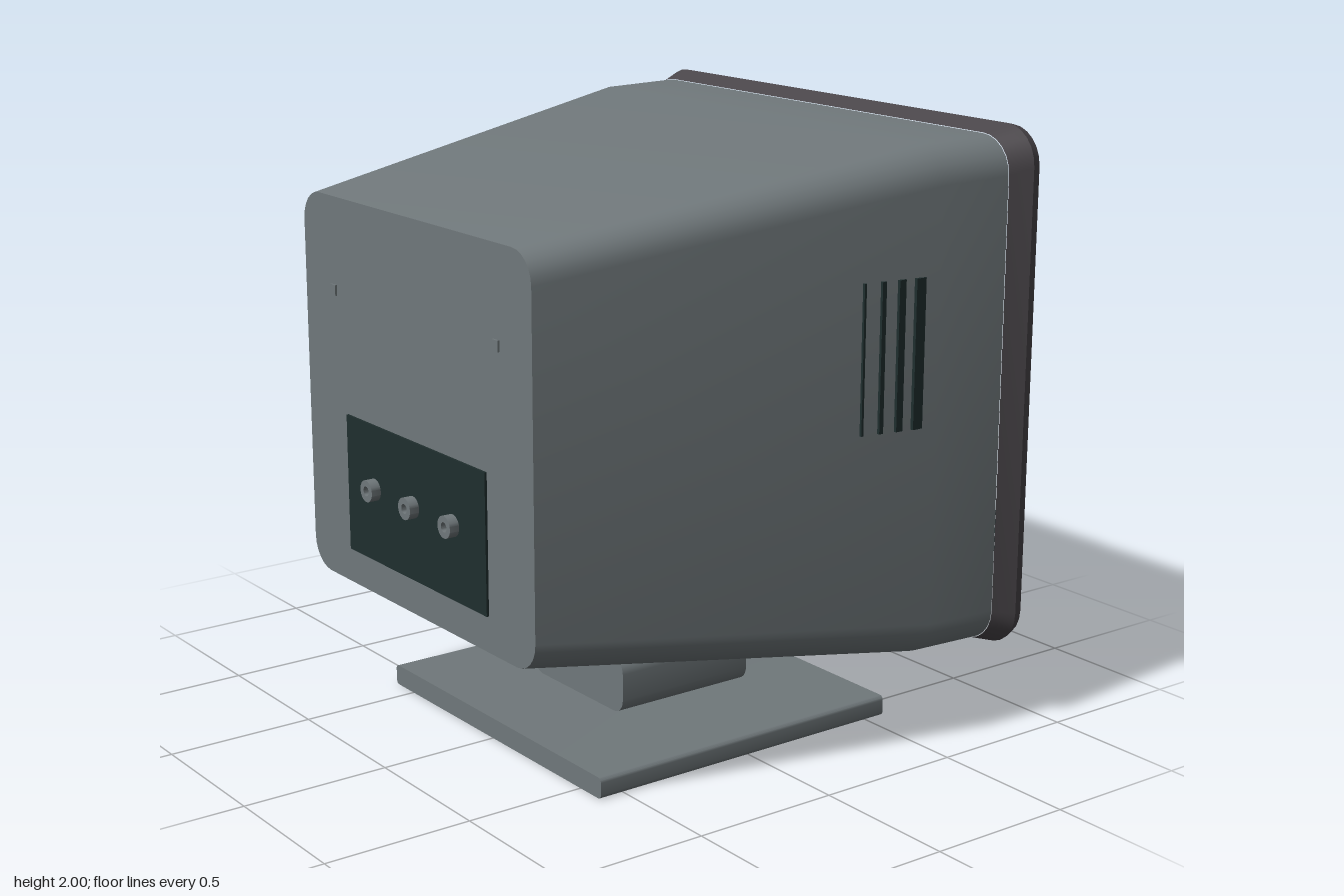
import * as THREE from 'three';
import { toCreasedNormals } from 'three/addons/utils/BufferGeometryUtils.js';

const mat = (name, color) => {
  const m = new THREE.MeshStandardMaterial({ color });
  m.name = name;
  return m;
};

// Points of a rounded rectangle, counter-clockwise
function roundedRect(w, y0, y1, r, segs = 6) {
  const pts = [];
  [[w - r, y1 - r], [r - w, y1 - r], [r - w, y0 + r], [w - r, y0 + r]].forEach(([cx, cy], q) => {
    for (let i = 0; i <= segs; i++) {
      const a = (q + i / segs) * Math.PI / 2;
      pts.push(new THREE.Vector2(cx + r * Math.cos(a), cy + r * Math.sin(a)));
    }
  });
  return pts;
}

// Skin over rounded rectangles, each given as [z, halfWidth, bottom, top, radius]
function loft(sections) {
  const pos = [], index = [];
  let n = 0;
  sections.forEach(([z, ...rect], s) => {
    const ring = roundedRect(...rect);
    n = ring.length;
    ring.forEach((p) => pos.push(p.x, p.y, z));
    if (s === 0) return;
    for (let i = 0; i < n; i++) {
      const j = (i + 1) % n, a = (s - 1) * n, b = s * n;
      index.push(a + i, a + j, b + j, a + i, b + j, b + i);
    }
  });
  const g = new THREE.BufferGeometry();
  g.setAttribute('position', new THREE.Float32BufferAttribute(pos, 3));
  g.setIndex(index);
  return toCreasedNormals(g, 0.4);
}

const plate = (...rect) => new THREE.ShapeGeometry(new THREE.Shape(roundedRect(...rect)));

// Rounded block extruded from z0 to z1
function block(w, y0, y1, r, z0, z1) {
  const shape = new THREE.Shape(roundedRect(w, y0, y1, r));
  const g = new THREE.ExtrudeGeometry(shape, { depth: z1 - z0, bevelEnabled: false });
  return toCreasedNormals(g.translate(0, 0, z0), 0.4);
}

export function createModel() {
  const group = new THREE.Group();
  const grey = mat('casing grey', 0x70787b);
  const charcoal = mat('bezel charcoal', 0x4a464a);
  const dark = mat('dark glass green', 0x1f2e2e);

  const add = (name, geometry, material, x = 0, y = 0, z = 0) => {
    const m = new THREE.Mesh(geometry, material);
    m.name = name;
    m.position.set(x, y, z);
    group.add(m);
    return m;
  };
  const box = (name, material, w, h, d, x, y, z) =>
    add(name, new THREE.BoxGeometry(w, h, d), material, x, y, z);

  // Stand
  add('base', block(0.61, 0, 0.07, 0.015, -0.57, 0.59), grey);
  add('neck', block(0.257, 0.083, 0.272, 0.05, -0.265, 0.25), grey);

  // Tapered casing with its rear wall
  add('casing', loft([
    [-0.75, 0.922, 0.305, 1.972, 0.12],
    [-0.48, 0.915, 0.312, 1.968, 0.12],
    [0.86, 0.66, 0.482, 1.76, 0.1],
  ]), grey);
  add('rearWall', plate(0.66, 0.482, 1.76, 0.1), grey, 0, 0, 0.86);

  // Bezel, from the recess around the glass out to the casing
  add('bezel', loft([
    [-0.78, 0.66, 0.67, 1.65, 0.08],
    [-0.87, 0.72, 0.59, 1.72, 0.12],
    [-0.872, 0.92, 0.305, 1.975, 0.11],
    [-0.865, 0.94, 0.288, 1.992, 0.12],
    [-0.83, 0.952, 0.28, 2.0, 0.125],
    [-0.75, 0.924, 0.303, 1.974, 0.12],
  ]), charcoal);
  add('screen', plate(0.67, 0.66, 1.66, 0.08).rotateY(Math.PI), dark, 0, 0, -0.782);

  // Control strip with buttons
  box('controlStrip', dark, 1.32, 0.095, 0.012, 0, 0.4, -0.876);
  for (let i = 0; i < 5; i++) {
    box('button', grey, 0.09, 0.04, 0.025, -0.383 + i * 0.129, 0.4, -0.885);
  }
  box('powerButton', grey, 0.12, 0.058, 0.03, 0.59, 0.4, -0.887);

  for (const side of [-1, 1]) {
    // Speaker bars in the lower corners
    for (let i = 0; i < 5; i++) {
      box('speakerBar', dark, 0.23, 0.015, 0.008, side * 0.7, 0.58 + i * 0.031, -0.876);
    }
    // Side vents following the taper
    [[-0.215, 0.008], [-0.281, 0.016], [-0.345, 0.026], [-0.41, 0.038]].forEach(([z, width]) => {
      const x = 0.66 + 0.255 * (0.86 - z) / 1.34;
      box('sideVent', dark, 0.016, 0.48, width, side * x, 1.33, z);
    });
    // Small rear tabs
    box('rearTab', grey, 0.03, 0.035, 0.008, side * 0.475, 1.455, 0.863);
  }

  // Rear connector panel with three hollow sockets
  box('connectorPanel', dark, 0.82, 0.455, 0.008, 0, 0.827, 0.864);
  const ring = new THREE.Shape().absarc(0, 0, 0.036, 0, Math.PI * 2);
  ring.holes.push(new THREE.Path().absarc(0, 0, 0.016, 0, Math.PI * 2, true));
  const socket = toCreasedNormals(
    new THREE.ExtrudeGeometry(ring, { depth: 0.033, bevelEnabled: false, curveSegments: 12 }), 0.6);
  for (const x of [-0.233, 0, 0.233]) add('socket', socket, grey, x, 0.845, 0.872);

  return group;
}
